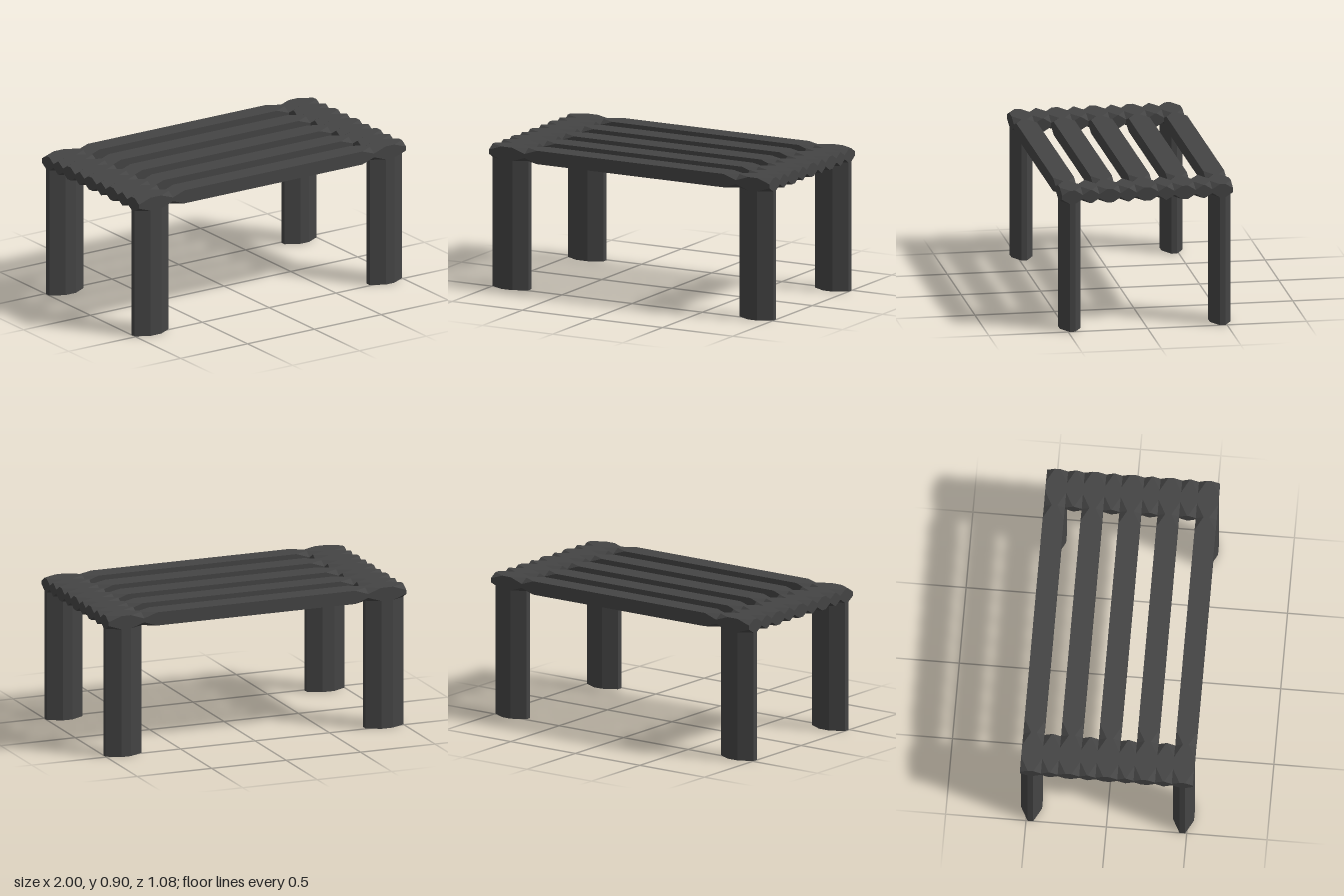
import * as THREE from 'three';

// Grid lines of the table top; every crossing has its corner cut off
const X = [-1, -0.745, 0.76, 1];
const Z = [-0.538, -0.407, -0.303, -0.169, -0.068, 0.068, 0.169, 0.303, 0.407, 0.538];
const Y0 = 0.82, Y1 = 0.905;
const CUT = { x: 0.088, y: 0.03, z: 0.048 };

// Solid cells: both end columns, and every other row between them
const solid = (i, j) => i >= 0 && i < 3 && j >= 0 && j < 9 && (i !== 1 || j % 2 === 0);

// Octagon outline of a rectangle with cut corners, as [x, z]
function octagon(x0, x1, z0, z1) {
  const { x: a, z: b } = CUT;
  return [
    [x0 + a, z0], [x0, z0 + b], [x0, z1 - b], [x0 + a, z1],
    [x1 - a, z1], [x1, z1 - b], [x1, z0 + b], [x1 - a, z0],
  ];
}

// Convex polygon as a fan of triangles
function addPolygon(out, points) {
  for (let k = 1; k < points.length - 1; k++) {
    out.push(...points[0], ...points[k], ...points[k + 1]);
  }
}

// One cell: octagonal top and bottom, corner cuts, and walls where it is exposed
function addCell(out, i, j) {
  const x0 = X[i], x1 = X[i + 1], z0 = Z[j], z1 = Z[j + 1];
  const o = octagon(x0, x1, z0, z1);
  const corners = [[x0, z0], [x0, z1], [x1, z1], [x1, z0]];
  const neighbours = [[i - 1, j], [i, j + 1], [i + 1, j], [i, j - 1]];
  const at = ([x, z], y) => [x, y, z];
  const hi = Y1 - CUT.y, lo = Y0 + CUT.y;

  addPolygon(out, o.map((p) => at(p, Y1)));
  addPolygon(out, o.map((p) => at(p, Y0)).reverse());
  for (let k = 0; k < 4; k++) {
    const a = o[2 * k], b = o[2 * k + 1], c = o[(2 * k + 2) % 8];
    const v = corners[k], w = corners[(k + 1) % 4];
    addPolygon(out, [at(a, Y1), at(v, hi), at(b, Y1)]);
    addPolygon(out, [at(b, Y0), at(v, lo), at(a, Y0)]);
    if (!solid(...neighbours[k])) {
      addPolygon(out, [
        at(v, hi), at(v, lo), at(b, Y0), at(c, Y0),
        at(w, lo), at(w, hi), at(c, Y1), at(b, Y1),
      ]);
    }
  }
}

export function createModel() {
  const group = new THREE.Group();
  const material = new THREE.MeshStandardMaterial({ color: 0x444444, flatShading: true });

  const addMesh = (name, geometry) => {
    const mesh = new THREE.Mesh(geometry, material);
    mesh.name = name;
    group.add(mesh);
    return mesh;
  };
  const addCells = (name, cells) => {
    const out = [];
    cells.forEach(([i, j]) => addCell(out, i, j));
    const geometry = new THREE.BufferGeometry();
    geometry.setAttribute('position', new THREE.Float32BufferAttribute(out, 3));
    geometry.computeVertexNormals();
    addMesh(name, geometry);
  };

  // End rails with notched edges
  const rows = [0, 1, 2, 3, 4, 5, 6, 7, 8];
  addCells('rightEndRail', rows.map((j) => [0, j]));
  addCells('leftEndRail', rows.map((j) => [2, j]));

  // Five long slats
  for (let j = 0; j < 9; j += 2) addCells(`slat${j / 2 + 1}`, [[1, j]]);

  // Octagonal legs under the corner cells
  for (const [i, side] of [[0, 'Right'], [2, 'Left']]) {
    for (const [j, end] of [[0, 'back'], [8, 'front']]) {
      const outline = octagon(X[i], X[i + 1], Z[j], Z[j + 1]);
      const shape = new THREE.Shape(outline.map(([x, z]) => new THREE.Vector2(x, -z)));
      const geometry = new THREE.ExtrudeGeometry(shape, { depth: Y0, bevelEnabled: false });
      geometry.rotateX(-Math.PI / 2);
      addMesh(`${end}${side}Leg`, geometry);
    }
  }
  return group;
}
